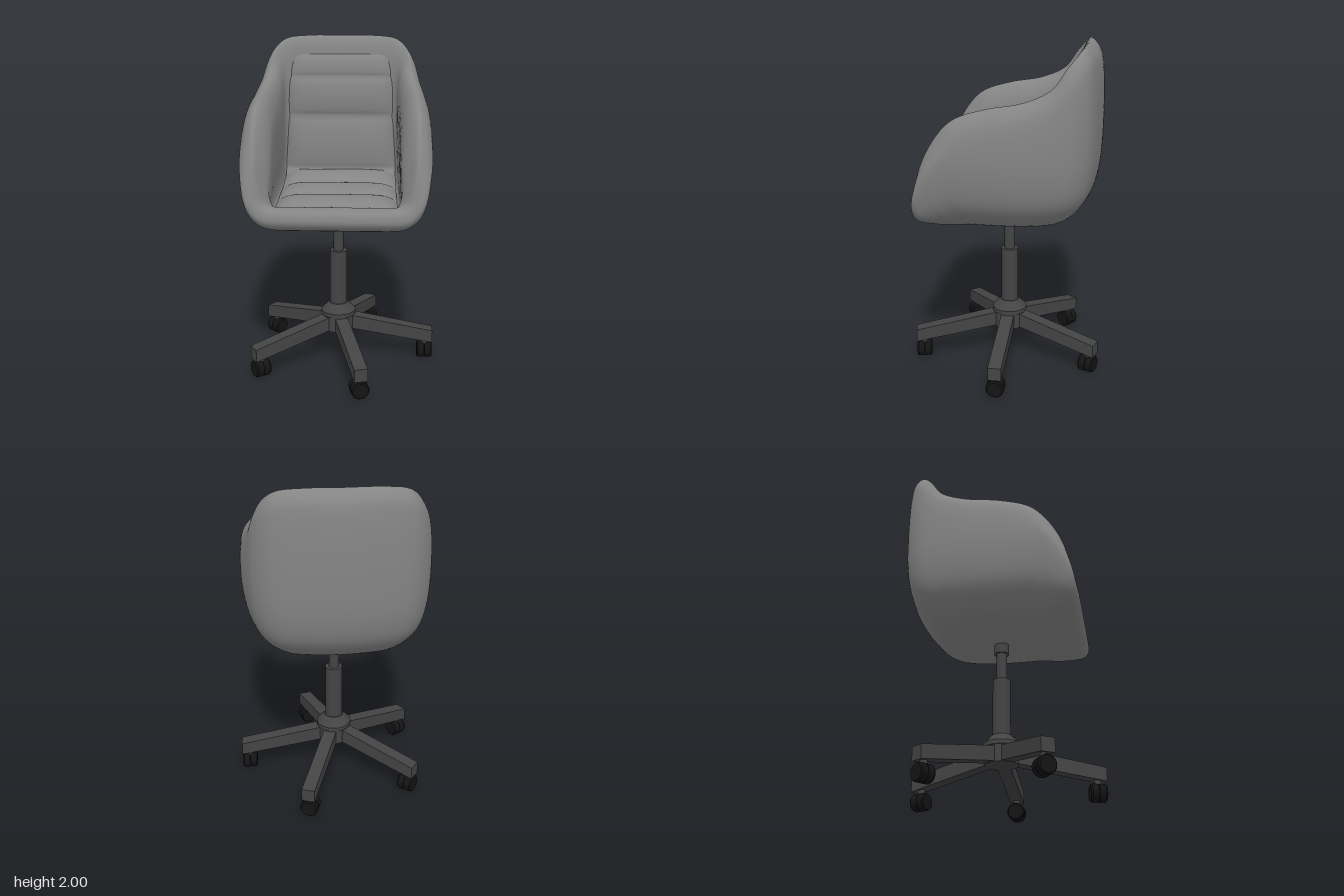
import * as THREE from 'three';
import { toCreasedNormals } from 'three/addons/utils/BufferGeometryUtils.js';

const CX = -0.027; // x of the swivel axis

const mat = (color) => new THREE.MeshStandardMaterial({ color, side: THREE.DoubleSide });
const seatMat = mat(0x858585), baseMat = mat(0x444444), casterMat = mat(0x141414);

function mesh(name, geometry, material, parent) {
  const m = new THREE.Mesh(geometry, material);
  m.name = name;
  parent.add(m);
  return m;
}

// Grid surface from point(i, j); i may wrap round
function gridGeometry(cols, rows, wrap, point) {
  const pos = [], index = [];
  const n = wrap ? cols : cols + 1;
  for (let i = 0; i < n; i++) for (let j = 0; j <= rows; j++) pos.push(...point(i, j));
  for (let i = 0; i < cols; i++) for (let j = 0; j < rows; j++) {
    const a = i * (rows + 1) + j, b = ((i + 1) % n) * (rows + 1) + j;
    index.push(a, b, a + 1, b, b + 1, a + 1);
  }
  const g = new THREE.BufferGeometry();
  g.setAttribute('position', new THREE.Float32BufferAttribute(pos, 3));
  g.setIndex(index);
  g.computeVertexNormals();
  return g;
}

// Half-loop stations, front to back: rim top x,y,z | outer wall x,z | inner wall x,z
const STATIONS = [
  [0, 1.115, 0.435, 0, 0.51, 0, 0.375],
  [0.22, 1.115, 0.435, 0.22, 0.51, 0.21, 0.375],
  [0.375, 1.13, 0.455, 0.42, 0.502, 0.345, 0.39],
  [0.44, 1.25, 0.46, 0.505, 0.475, 0.372, 0.39],
  [0.46, 1.43, 0.40, 0.537, 0.395, 0.368, 0.33],
  [0.465, 1.61, 0.26, 0.548, 0.25, 0.366, 0.21],
  [0.465, 1.68, 0.07, 0.552, 0.06, 0.365, 0.05],
  [0.46, 1.72, -0.14, 0.545, -0.15, 0.365, -0.13],
  [0.445, 1.79, -0.29, 0.515, -0.31, 0.362, -0.27],
  [0.425, 1.90, -0.37, 0.475, -0.42, 0.35, -0.365],
  [0.35, 1.98, -0.44, 0.39, -0.50, 0.30, -0.395],
  [0.2, 2.0, -0.462, 0.2, -0.54, 0.18, -0.40],
  [0, 2.0, -0.465, 0, -0.553, 0, -0.40],
];

// Thick upholstered bucket: section runs from under the seat, over the rim, to the floor inside
function shellGeometry() {
  const mirrored = STATIONS.slice(1, -1).reverse().map(([a, b, c, d, e, f, g]) => [-a, b, c, -d, e, -f, g]);
  const all = [...STATIONS, ...mirrored];
  const loop = (pick) => new THREE.CatmullRomCurve3(all.map((s) => new THREE.Vector3(...pick(s))), true);
  const rim = loop((s) => [s[0], s[1], s[2]]);
  const outer = loop((s) => [s[3], 0, s[4]]);
  const inner = loop((s) => [s[5], 0, s[6]]);
  const COLS = 144, ROWS = 76;
  const sections = [];
  for (let i = 0; i < COLS; i++) {
    const T = rim.getPoint(i / COLS), O = outer.getPoint(i / COLS), I = inner.getPoint(i / COLS);
    const s = THREE.MathUtils.clamp((T.y - 1) / 0.55, 0.2, 1);
    const at = (p, k, y) => new THREE.Vector3(p.x * k, y, p.z * k);
    const mix = (a, b, k, y) => new THREE.Vector3().lerpVectors(a, b, k).setY(y);
    const lipY = T.y - 0.11 * s;
    sections.push(new THREE.CatmullRomCurve3([
      at(O, 0, 0.95), at(O, 0.4, 0.95), at(O, 0.68, 0.95 + 0.045 * s), at(O, 0.87, 0.95 + 0.15 * s),
      at(O, 0.95, 0.95 + 0.25 * s), at(O, 1, 0.95 + 0.45 * s),
      mix(O, T, 0.18, T.y - 0.09 * s), mix(O, T, 0.58, T.y - 0.025 * s),
      T, mix(T, I, 0.45, T.y - 0.022 * s), mix(T, I, 0.9, lipY),
      at(I, 1, (lipY + 1.08) / 2), at(I, 1, 1.078), at(I, 0.9, 1.06), at(I, 0, 1.06),
    ]));
  }
  return gridGeometry(COLS, ROWS, true, (i, j) => sections[i].getPoint(j / ROWS).toArray());
}

// Quilted lining: padded panels between stitched creases given as [z, y]
function liningGeometry() {
  const creases = [[0.43, 1.09], [0.37, 1.1], [0.12, 1.105], [-0.13, 1.115], [-0.345, 1.15],
    [-0.365, 1.5], [-0.375, 1.75], [-0.41, 1.89]];
  const PER = 12, COLS = 40, rows = (creases.length - 1) * PER;
  return gridGeometry(COLS, rows, false, (i, j) => {
    const k = Math.min(Math.floor(j / PER), creases.length - 2), t = j / PER - k;
    const [z0, y0] = creases[k], [z1, y1] = creases[k + 1];
    const dz = z1 - z0, dy = y1 - y0, len = Math.hypot(dz, dy);
    const u = (i / COLS) * 2 - 1, edge = Math.abs(u) ** 7;
    const puff = Math.min(0.026, len * 0.12) * Math.max(0, Math.sin(Math.PI * t)) ** 0.6 * (1 - edge) - 0.035 * edge;
    return [u * 0.355, y0 + dy * t - (dz / len) * puff, z0 + dz * t + (dy / len) * puff];
  });
}

// Turned part, smooth around and sharp at profile corners
function lathe(points) {
  const g = new THREE.LatheGeometry(points.map(([r, y]) => new THREE.Vector2(r, y)), 32);
  return toCreasedNormals(g, 0.5);
}

function tube(name, r, y0, y1, parent) {
  mesh(name, new THREE.CylinderGeometry(r, r, y1 - y0, 32), baseMat, parent).position.y = (y0 + y1) / 2;
}

// Caster with two close-set wheels whose axle points along the arm
function createCaster() {
  const caster = new THREE.Group();
  caster.name = 'caster';
  const wheel = lathe([[0, -0.023], [0.052, -0.023], [0.053, -0.02], [0.053, 0.014], [0.046, 0.023], [0, 0.023]]);
  for (const side of [-1, 1]) {
    const w = mesh('casterWheel', wheel, casterMat, caster);
    w.rotation.z = -side * Math.PI / 2;
    w.position.set(side * 0.0245, 0.054, 0);
  }
  mesh('casterStem', new THREE.CylinderGeometry(0.022, 0.022, 0.06, 16), baseMat, caster).position.y = 0.12;
  return caster;
}

function createBase() {
  const base = new THREE.Group();
  base.name = 'base';
  tube('seatCollar', 0.045, 0.89, 0.97, base);
  tube('piston', 0.032, 0.7, 0.9, base);
  tube('column', 0.053, 0.34, 0.72, base);
  mesh('hub', lathe([[0, 0.2], [0.1, 0.2], [0.1, 0.3], [0.108, 0.3], [0.108, 0.325], [0.058, 0.375], [0, 0.375]]), baseMat, base);

  // Sloping arm, drawn from the side and given its width
  const side = new THREE.Shape([[0.03, 0.215], [0.598, 0.115], [0.598, 0.195], [0.03, 0.305]].map((p) => new THREE.Vector2(...p)));
  const armGeo = new THREE.ExtrudeGeometry(side, { depth: 0.08, bevelEnabled: false }).translate(0, 0, -0.04);
  for (const degrees of [0, 75, 147, 218, 290]) {
    const leg = new THREE.Group();
    leg.name = 'leg';
    leg.rotation.y = -THREE.MathUtils.degToRad(degrees);
    mesh('legArm', armGeo, baseMat, leg);
    const caster = createCaster();
    caster.position.x = 0.55;
    leg.add(caster);
    base.add(leg);
  }
  return base;
}

export function createModel() {
  const chair = new THREE.Group();
  chair.name = 'swivelChair';
  const body = new THREE.Group();
  body.name = 'bucketSeat';
  mesh('seatShell', shellGeometry(), seatMat, body);
  mesh('quiltedLining', liningGeometry(), seatMat, body);
  const base = createBase();
  body.position.x = base.position.x = CX;
  chair.add(body, base);
  return chair;
}
